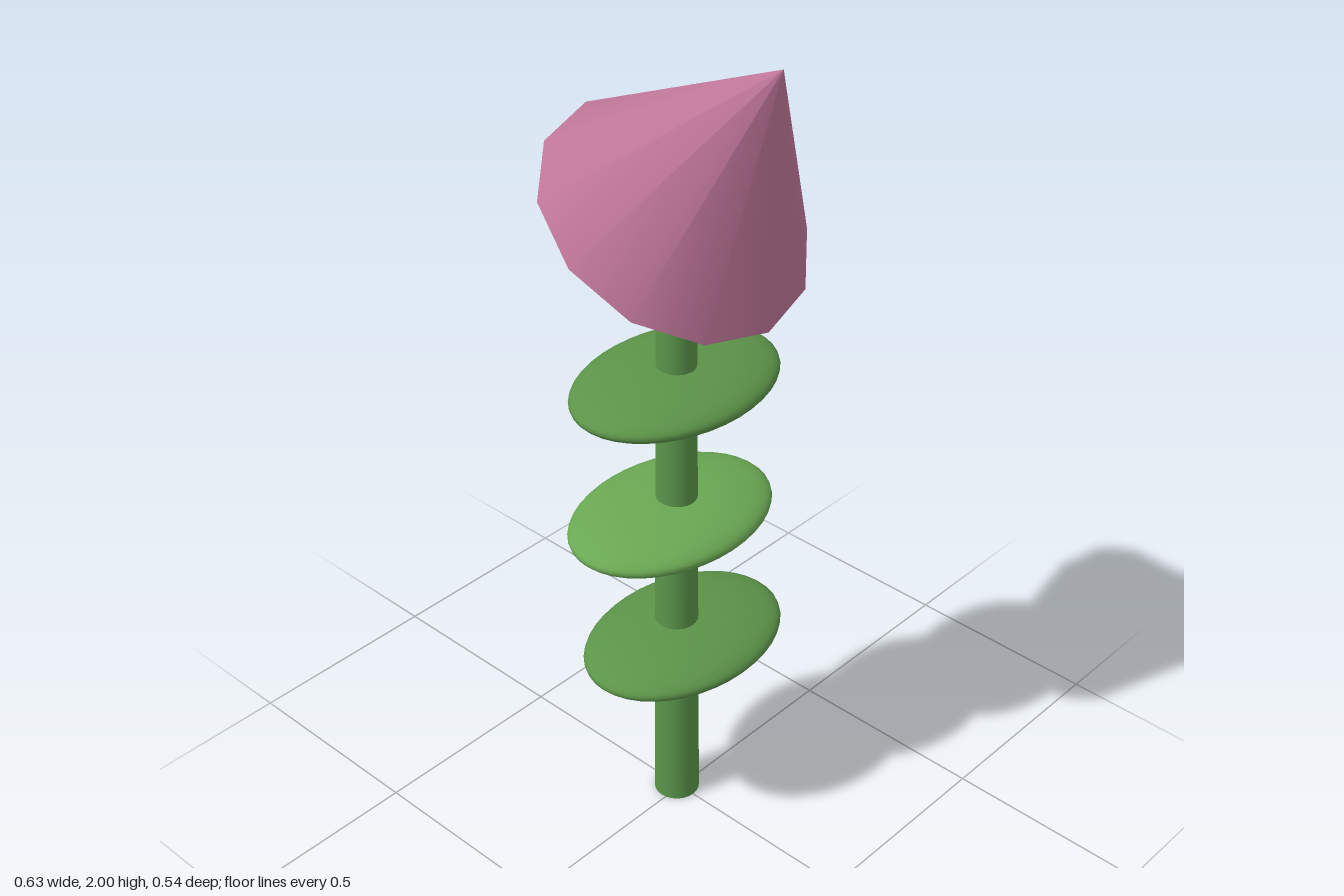
import * as THREE from 'three';

const AXIS_Z = -0.012;

function addPart(parent, name, geometry, color, x, y, z) {
  const mesh = new THREE.Mesh(geometry, new THREE.MeshStandardMaterial({ color }));
  mesh.name = name;
  mesh.position.set(x, y, z);
  parent.add(mesh);
  return mesh;
}

export function createModel() {
  const model = new THREE.Group();
  model.name = 'flower';

  // Slightly tapered stem
  addPart(model, 'stem', new THREE.CylinderGeometry(0.043, 0.055, 1.58, 24), 0x5a964a, 0, 0.79, AXIS_Z);

  // Rounded joint between stem and blossom
  addPart(model, 'joint', new THREE.SphereGeometry(0.044, 24, 16), 0xcccccc, 0, 1.575, AXIS_Z);

  // Flattened oval leaves, each a little off the stem's axis
  const leaves = [
    { x: 0.008, y: 0.479, z: 0.002, color: 0x5c9449 },
    { x: -0.008, y: 0.828, z: -0.022, color: 0x6aa853 },
    { x: 0.008, y: 1.175, z: -0.022, color: 0x5c9449 },
  ];
  for (const { x, y, z, color } of leaves) {
    const leaf = addPart(model, 'leaf', new THREE.SphereGeometry(1, 40, 24), color, x, y, z);
    leaf.scale.set(0.272, 0.052, 0.194);
  }

  // Twelve-sided cone blossom, tipped forward about the centre of its base
  const cone = new THREE.ConeGeometry(0.315, 0.498, 12).translate(0, 0.249, 0);
  const blossom = addPart(model, 'blossom', cone, 0xbe7598, 0, 1.588, AXIS_Z);
  blossom.rotation.x = 0.598;

  return model;
}
